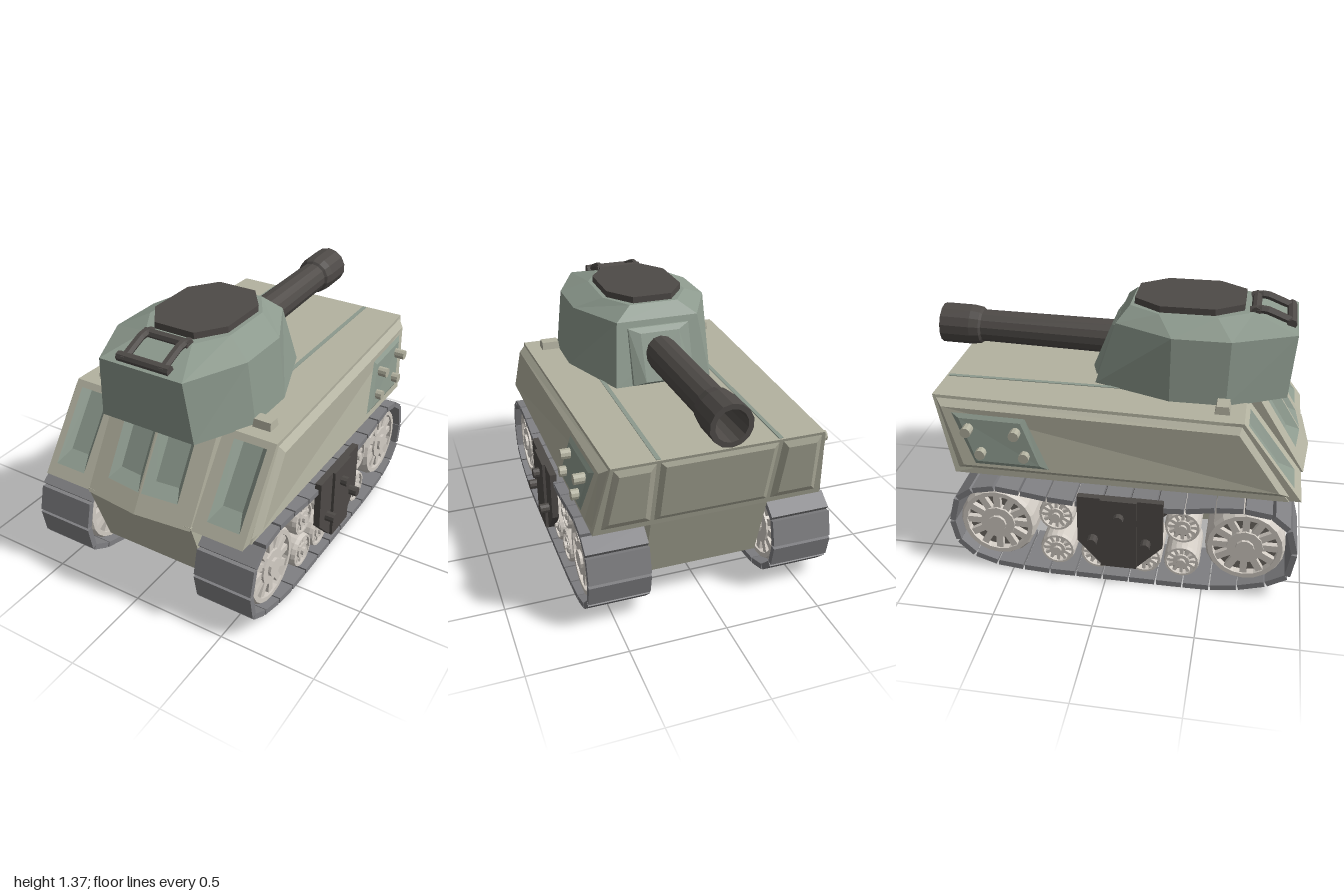
import * as THREE from 'three';

const paint = (color) => new THREE.MeshStandardMaterial({ color, flatShading: true, side: THREE.DoubleSide });
const HULL = paint(0xb3b2a0), GREEN = paint(0x8c998d), DARK = paint(0x4e4a47);
const TRACK = paint(0x7f7f82), STEEL = paint(0xd2ccc4), RECESS = paint(0x6e6963);

function add(parent, name, geometry, material) {
  const mesh = new THREE.Mesh(geometry, material);
  mesh.name = name;
  parent.add(mesh);
  return mesh;
}

function addGroup(parent, name) {
  const g = new THREE.Group();
  g.name = name;
  parent.add(g);
  return g;
}

// Skin between rings of points, counter-clockwise seen from the last ring
function loft(rings, startCap = true) {
  const pos = [], n = rings[0].length;
  const tri = (a, b, c) => pos.push(...a, ...b, ...c);
  for (let r = 0; r + 1 < rings.length; r++) {
    for (let i = 0; i < n; i++) {
      const j = (i + 1) % n, p = rings[r], q = rings[r + 1];
      tri(p[i], p[j], q[j]);
      tri(p[i], q[j], q[i]);
    }
  }
  const first = rings[0], last = rings[rings.length - 1];
  for (let i = 1; i + 1 < n; i++) {
    tri(last[0], last[i], last[i + 1]);
    if (startCap) tri(first[0], first[i + 1], first[i]);
  }
  const g = new THREE.BufferGeometry();
  g.setAttribute('position', new THREE.Float32BufferAttribute(pos, 3));
  g.computeVertexNormals();
  return g;
}

// Horizontal ring, symmetric in x, from [halfWidth, z] pairs listed front to back
const ring = (y, half) => [
  ...half.map(([x, z]) => [x, y, z]),
  ...half.slice().reverse().map(([x, z]) => [-x, y, z]),
];
const rect = (x0, y0, x1, y1) => [[x0, y0], [x1, y0], [x1, y1], [x0, y1]];

function bolt(parent, x, y, z, length, material) {
  const g = new THREE.CylinderGeometry(0.027, 0.027, length, 10).rotateZ(Math.PI / 2);
  add(parent, 'bolt', g, material).position.set(x, y, z);
}

// Sloped front surfaces: u along the slope (0 to 0.5), d outward
const outerFront = (x, u, d) => [x, 0.545 + 0.81 * u, 0.96 - 0.6 * u + d];
const centreFront = (x, u, d) => [x, 0.545 + 0.81 * u, 1.0 - 0.1 * x - 0.5 * u + d];
// Points on the leaning hull side and on the sloped rear
const side = (off) => ([z, y]) => [0.59 - ((y - 0.545) / 0.405) * (0.0315 - 0.037 * z) + off, y, z];
const rear = (d) => ([x, y]) => [x, y, -0.79 - ((y - 0.545) / 0.405) * 0.11 - d];

function frontPlate(parent, name, map, outline, hole, inner, thickness) {
  const shape = new THREE.Shape(outline.map((p) => new THREE.Vector2(...p)));
  shape.holes.push(new THREE.Path(hole.map((p) => new THREE.Vector2(...p))));
  const g = new THREE.ExtrudeGeometry(shape, { depth: thickness, bevelEnabled: false });
  const p = g.attributes.position;
  for (let i = 0; i < p.count; i++) p.setXYZ(i, ...map(p.getX(i), p.getY(i), p.getZ(i) - thickness));
  g.computeVertexNormals();
  add(parent, name, g, HULL);
  const recess = [hole.map(([x, u]) => map(x, u, 0)), inner.map(([x, u]) => map(x, u, -0.045))];
  add(parent, name + 'Recess', loft(recess, false), GREEN);
}

function hullSide(g) {
  frontPlate(g, 'outerFrontPlate', outerFront, rect(0.3, 0, 0.58, 0.5),
    rect(0.365, 0.065, 0.54, 0.465), rect(0.4, 0.13, 0.505, 0.455), 0.06);
  frontPlate(g, 'centreFrontPlate', centreFront, rect(0, 0, 0.3, 0.5),
    rect(0.008, 0.11, 0.204, 0.465), rect(0.045, 0.16, 0.17, 0.45), 0.1);
  // Raised side panel and bolted hatch
  const outer = [[0.9, 0.575], [-0.77, 0.575], [-0.88, 0.935], [0.65, 0.935]];
  const inner = [[0.85, 0.605], [-0.735, 0.605], [-0.845, 0.905], [0.64, 0.905]];
  add(g, 'sidePanel', loft([outer.map(side(0)), inner.map(side(0.03))], false), HULL);
  const hatch = [[-0.29, 0.62], [-0.67, 0.62], [-0.79, 0.88], [-0.41, 0.88]];
  const hatchTop = [[-0.335, 0.64], [-0.66, 0.64], [-0.75, 0.86], [-0.43, 0.86]];
  add(g, 'sideHatch', loft([hatch.map(side(0.03)), hatchTop.map(side(0.042))], false), GREEN);
  for (const [z, y] of [[-0.455, 0.81], [-0.7, 0.81], [-0.41, 0.69], [-0.635, 0.69]])
    bolt(g, 0.612, y, z, 0.07, HULL);
  // Outer rear panel
  const rearOuter = [[0.55, 0.575], [0.31, 0.575], [0.31, 0.935], [0.51, 0.935]];
  const rearInner = [[0.52, 0.61], [0.34, 0.61], [0.34, 0.9], [0.485, 0.9]];
  add(g, 'rearPanel', loft([rearOuter.map(rear(0)), rearInner.map(rear(0.015))], false), HULL);
  // Deck seam and small deck block
  add(g, 'deckSeam', new THREE.BoxGeometry(0.022, 0.006, 1.5), GREEN).position.set(0.3, 0.95, -0.14);
  add(g, 'deckBlock', loft([
    ring(0.94, [[0.05, 0.04], [0.05, -0.04]]), ring(0.99, [[0.045, 0.03], [0.045, -0.03]]),
  ]), HULL).position.set(0.455, 0, 0.55);
}

function wheel(r, z, y) {
  const g = new THREE.Group(), w = 0.13;
  g.name = 'wheel';
  const rim = [[0.82, -w], [0.94, -w], [1, -w + 0.02], [1, w - 0.02], [0.94, w], [0.82, w], [0.82, -w]];
  add(g, 'rim', new THREE.LatheGeometry(rim.map(([k, h]) => new THREE.Vector2(k * r, h)), 20), STEEL);
  add(g, 'disc', new THREE.CylinderGeometry(0.84 * r, 0.84 * r, 2 * w - 0.08, 20), RECESS);
  add(g, 'hub', new THREE.CylinderGeometry(0.46 * r, 0.52 * r, 2 * w, 12), STEEL);
  add(g, 'axle', new THREE.CylinderGeometry(0.24 * r, 0.24 * r, 2 * w + 0.03, 10), STEEL);
  for (let i = 0; i < 12; i++) {
    const spoke = new THREE.BoxGeometry(0.42 * r, 2 * w - 0.02, 0.18 * r);
    spoke.translate(0.64 * r, 0, 0).rotateY((i / 12) * Math.PI * 2);
    add(g, 'spoke', spoke, STEEL);
  }
  g.rotation.z = -Math.PI / 2;
  g.position.set(0.482, y, z);
  return g;
}

function trackUnit(g) {
  // Links laid along a closed path of [z, y] points
  const path = [[0.95, 0.28], [0.925, 0.14], [0.82, 0.08], [0.68, 0.04], [0.54, 0.02], [0.4, 0.018],
    [0.26, 0.018], [0.12, 0.018], [-0.02, 0.018], [-0.16, 0.018], [-0.3, 0.018], [-0.44, 0.025],
    [-0.58, 0.04], [-0.7, 0.08], [-0.785, 0.16], [-0.81, 0.28], [-0.775, 0.42], [-0.69, 0.48],
    [-0.57, 0.505], [-0.44, 0.49], [-0.3, 0.47], [-0.16, 0.46], [-0.02, 0.455], [0.12, 0.455],
    [0.26, 0.465], [0.4, 0.475], [0.55, 0.5], [0.69, 0.51], [0.83, 0.49], [0.915, 0.42]];
  path.forEach(([z0, y0], i) => {
    const [z1, y1] = path[(i + 1) % path.length];
    const link = new THREE.BoxGeometry(0.315, 0.03, Math.hypot(z1 - z0, y1 - y0) - 0.01);
    const m = add(g, 'trackLink', link, TRACK);
    m.position.set(0.4825, (y0 + y1) / 2, (z0 + z1) / 2);
    m.rotation.x = -Math.atan2(y1 - y0, z1 - z0);
  });
  for (const z of [0.705, -0.575]) g.add(wheel(0.2, z, 0.275));
  for (const z of [0.39, -0.26]) g.add(wheel(0.092, z, 0.355));
  for (const z of [0.39, 0.195, -0.045, -0.26]) g.add(wheel(0.092, z, 0.145));
  // Suspension plates on both faces, with a raised middle and bolts outside
  const outline = [[0.295, 0.25], [0.165, 0.115], [-0.02, 0.115], [-0.14, 0.25], [-0.14, 0.515], [0.295, 0.515]];
  const middle = [[0.165, 0.115], [-0.02, 0.115], [-0.02, 0.515], [0.165, 0.515]];
  const slab = (pts, x0, x1) => loft([x0, x1].map((x) => pts.map(([z, y]) => [x, y, z])));
  add(g, 'outerPlate', slab(outline, 0.62, 0.655), DARK);
  add(g, 'outerPlateRidge', slab(middle, 0.65, 0.67), DARK);
  add(g, 'innerPlate', slab(outline, 0.298, 0.335), DARK);
  for (const [z, y] of [[0.075, 0.42], [0.21, 0.27], [-0.06, 0.27]]) bolt(g, 0.675, y, z, 0.06, DARK);
}

function turret(g) {
  add(g, 'turretBody', loft([
    ring(0.945, [[0.26, 0.855], [0.408, 0.56], [0.408, 0.28], [0.26, -0.12]]),
    ring(1.268, [[0.228, 0.885], [0.37, 0.57], [0.37, 0.28], [0.22, -0.02]]),
    ring(1.335, [[0.13, 0.66], [0.23, 0.49], [0.23, 0.2], [0.13, 0.04]]),
  ]), GREEN);
  const lid = [[0.11, 0.615], [0.208, 0.475], [0.208, 0.2], [0.105, 0.06]];
  add(g, 'roofHatch', loft([ring(1.325, lid), ring(1.368, lid)]), DARK);
  // Gun mount
  const mount = (h, y0, z0, y1, z1) => [[h, y0, z0], [-h, y0, z0], [-h, y1, z1], [h, y1, z1]];
  add(g, 'gunMount', loft([
    mount(0.18, 0.95, -0.09, 1.25, 0.01), mount(0.165, 0.955, -0.13, 1.235, -0.035),
    mount(0.105, 0.975, -0.155, 1.21, -0.06),
  ]), GREEN);
  // Gun with hollow muzzle
  const profile = [[0, 0], [0.09, 0], [0.085, 0.74], [0.098, 0.75], [0.106, 0.8], [0.106, 0.96],
    [0.08, 0.96], [0.076, 0.74], [0, 0.74]].map((p) => new THREE.Vector2(...p));
  const gun = add(g, 'gun', new THREE.LatheGeometry(profile, 14), DARK);
  gun.rotation.x = -Math.PI / 2 + 0.02;
  gun.position.set(0, 1.1, -0.038);
  // Grab frame on the sloping roof front
  for (const x of [-0.105, 0.105]) {
    const pts = [[1.285, 0.865], [1.325, 0.77], [1.345, 0.71], [1.335, 0.64]];
    const curve = new THREE.CatmullRomCurve3(pts.map(([y, z]) => new THREE.Vector3(x, y, z)));
    add(g, 'grabRail', new THREE.TubeGeometry(curve, 8, 0.021, 6), DARK);
  }
  for (const [y, z, len] of [[1.289, 0.85, 0.285], [1.335, 0.67, 0.25]]) {
    const bar = new THREE.CylinderGeometry(0.025, 0.025, len, 8).rotateZ(Math.PI / 2);
    add(g, 'grabBar', bar, DARK).position.set(0, y, z);
  }
}

export function createModel() {
  const model = new THREE.Group();
  model.name = 'tank';
  // Hull and turret share a centre line slightly left of the tracks' own
  const body = addGroup(model, 'body');
  body.position.x = 0.015;
  add(body, 'upperHull', loft([
    ring(0.545, [[0.59, 0.9], [0.59, -0.79]]), ring(0.95, [[0.58, 0.6], [0.525, -0.9]]),
  ]), HULL);
  add(body, 'lowerHull', loft([
    ring(0.195, [[0.3, 0.84], [0.3, -0.68]]), ring(0.56, [[0.303, 0.965], [0.303, -0.79]]),
  ]), HULL);
  add(body, 'centreRearPanel', loft([
    [[0.29, 0.575], [-0.29, 0.575], [-0.29, 0.935], [0.29, 0.935]].map(rear(0)),
    [[0.265, 0.6], [-0.265, 0.6], [-0.265, 0.91], [0.265, 0.91]].map(rear(0.012)),
  ], false), HULL);
  turret(addGroup(body, 'turret'));
  for (const s of [1, -1]) {
    const sideName = s > 0 ? 'left' : 'right';
    const hull = addGroup(body, sideName + 'HullSide');
    const tracks = addGroup(model, sideName + 'TrackUnit');
    hullSide(hull);
    trackUnit(tracks);
    hull.scale.x = tracks.scale.x = s;
  }
  return model;
}
